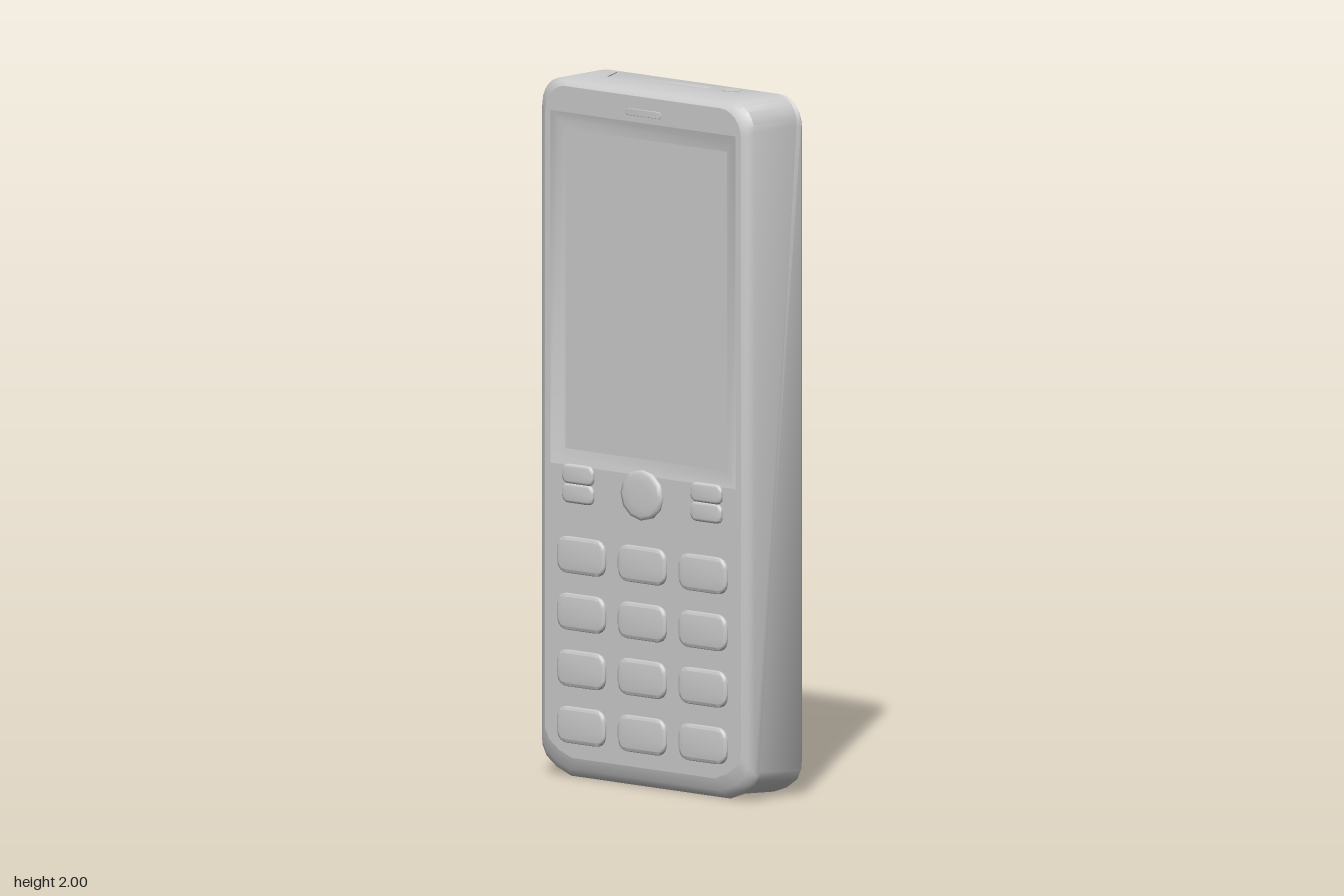
import * as THREE from 'three';
import { toCreasedNormals, mergeVertices } from 'three/addons/utils/BufferGeometryUtils.js';

const material = new THREE.MeshStandardMaterial({ color: 0xcccccc });

function addMesh(group, name, geometry) {
  const mesh = new THREE.Mesh(geometry, material);
  mesh.name = name;
  group.add(mesh);
  return mesh;
}

function build(positions, index, crease) {
  const g = new THREE.BufferGeometry();
  g.setAttribute('position', new THREE.Float32BufferAttribute(positions, 3));
  g.setIndex(index);
  return toCreasedNormals(mergeVertices(g), crease);
}

// Skin between closed rings of [x, y, z], listed front to back
function loft(rings, crease = 0.75) {
  const n = rings[0].length, index = [];
  for (let k = 0; k + 1 < rings.length; k++) {
    for (let i = 0; i < n; i++) {
      const j = (i + 1) % n, a = k * n, b = a + n;
      index.push(b + i, b + j, a + i, b + j, a + j, a + i);
    }
  }
  return build(rings.flat(2), index, crease);
}

// Right half of the outline, bottom to top, drawn in by an inset
function halfOutline(inset) {
  const hw = 0.416 - inset, top = 2 - inset * 0.6, bottom = inset * 1.7;
  const pts = [[hw - 0.105, bottom], [hw - 0.055, bottom + 0.018], [hw - 0.016, bottom + 0.045], [hw, bottom + 0.075]];
  const r = 0.08;
  for (let i = 0; i <= 6; i++) {
    const a = (i / 6) * Math.PI / 2;
    pts.push([hw - r + r * Math.cos(a), top - r + r * Math.sin(a)]);
  }
  for (const x of [0.29, 0.25, 0.13]) pts.push([Math.min(x, (hw - r) * x / 0.3), top]);
  return pts;
}

function outline(inset, z) {
  const right = halfOutline(inset);
  const left = right.map(([x, y]) => [-x, y]).reverse();
  return [...right, ...left].map(([x, y]) => [x, y, typeof z === 'function' ? z(x, y) : z]);
}

// Slanted parting line, stepping forward into a notch on the top face
const seam = (x, y) => (y > 1.985 && Math.abs(x) < 0.27 ? 0.01 : 0.095 - 0.084 * y);

// Bowed back with a shallow recess in its middle
function backZ(x, y) {
  const recessed = Math.abs(x) < 0.328 && y > 0.22 && y < 1.57;
  return -0.125 - 0.016 * Math.max(0, 1 - (x / 0.356) ** 2) + (recessed ? 0.009 : 0);
}

function backPanel() {
  const side = halfOutline(0.06).slice(0, 11);
  const hw = side[4][0];
  const straight = [0.21, 0.235, 0.7, 1.2, 1.52, 1.6, 1.75].map((y) => [hw, y]);
  const rows = [...side, ...straight].sort((a, b) => a[1] - b[1]);
  const half = [0.06, 0.13, 0.2, 0.26, 0.32, 0.335, hw];
  const cols = [...half.map((x) => -x).reverse(), 0, ...half];
  const pos = [], index = [], n = cols.length;
  rows.forEach(([w, y], r) => cols.forEach((c, i) => {
    const x = c * w / hw;
    pos.push(x, y, backZ(x, y));
    if (r && i) {
      const d = r * n + i, b = d - n;
      index.push(b - 1, d - 1, b, b, d - 1, d);
    }
  }));
  return build(pos, index, 0.9);
}

function roundedRect(w, h, r) {
  const s = new THREE.Shape(), x = w / 2, y = h / 2;
  s.moveTo(-x + r, -y);
  s.lineTo(x - r, -y);
  s.quadraticCurveTo(x, -y, x, -y + r);
  s.lineTo(x, y - r);
  s.quadraticCurveTo(x, y, x - r, y);
  s.lineTo(-x + r, y);
  s.quadraticCurveTo(-x, y, -x, y - r);
  s.lineTo(-x, -y + r);
  s.quadraticCurveTo(-x, -y, -x + r, -y);
  return s;
}

// Low pad with softened edges, rising from z = 0 to its height
function pad(w, h, r, height, bevel) {
  const g = new THREE.ExtrudeGeometry(roundedRect(w - 2 * bevel, h - 2 * bevel, r), {
    depth: height, curveSegments: 5, bevelSize: bevel, bevelThickness: height * 0.5, bevelSegments: 2,
  });
  return toCreasedNormals(g.translate(0, 0, -height * 0.5), 0.8);
}

export function createModel() {
  const phone = new THREE.Group();
  phone.name = 'phone';
  const frontZ = 0.127;

  // Front shell and its face around the screen
  const frontRing = outline(0.034, frontZ);
  addMesh(phone, 'frontShell', loft([
    frontRing, outline(0.014, 0.118), outline(0.003, 0.105), outline(0, seam), outline(0.006, seam),
  ]));
  const rect = (x, y0, y1, z) => [[-x, y0, z], [x, y0, z], [x, y1, z], [-x, y1, z]];
  const rim = rect(0.36, 0.895, 1.905, frontZ);
  const toVec = ([x, y]) => new THREE.Vector2(x, y);
  const face = new THREE.Shape(frontRing.map(toVec));
  face.holes.push(new THREE.Path(rim.map(toVec)));
  addMesh(phone, 'frontFace', new THREE.ShapeGeometry(face).translate(0, 0, frontZ));

  // Sunken screen with a sloping surround
  addMesh(phone, 'screenSurround', loft([
    rect(0.315, 0.94, 1.855, 0.114), rect(0.335, 0.92, 1.88, 0.118), rim,
  ]));
  addMesh(phone, 'screen', new THREE.PlaneGeometry(0.63, 0.915).translate(0, 1.3975, 0.114));

  // Back cover
  addMesh(phone, 'coverSides', loft([
    outline(0.006, seam), outline(0, -0.085), outline(0.012, -0.1), outline(0.032, -0.115), outline(0.06, backZ),
  ]));
  addMesh(phone, 'coverBack', backPanel());

  // Number keys
  const keys = new THREE.Group();
  keys.name = 'keypad';
  phone.add(keys);
  const keyGeometry = pad(0.188, 0.105, 0.03, 0.01, 0.01);
  for (const y of [0.64, 0.477, 0.315, 0.153]) {
    for (const x of [-0.237, 0, 0.237]) {
      addMesh(keys, 'numberKey', keyGeometry).position.set(x, y, frontZ);
    }
  }

  // Split keys either side of the round navigation key
  const halfKey = pad(0.122, 0.056, 0.016, 0.009, 0.008);
  for (const x of [-0.25, 0.25]) {
    for (const y of [0.817, 0.872]) addMesh(keys, 'softKey', halfKey).position.set(x, y, frontZ);
  }
  const dome = [[0.08, 0], [0.08, 0.009], [0.068, 0.013], [0.04, 0.015], [0, 0.015]];
  const nav = new THREE.LatheGeometry(dome.map(([r, h]) => new THREE.Vector2(r, h)), 12);
  addMesh(keys, 'navigationKey', nav.rotateX(Math.PI / 2).scale(1, 0.9, 1)).position.set(0, 0.84, frontZ);

  // Earpiece slot, top port and audio socket
  addMesh(phone, 'earpiece', pad(0.14, 0.02, 0.007, 0.002, 0.002)).position.set(0, 1.933, frontZ);
  const port = addMesh(phone, 'topPort', pad(0.228, 0.025, 0.007, 0.003, 0.002));
  port.rotation.x = -Math.PI / 2;
  port.position.set(-0.017, 1.996, -0.047);
  const socket = addMesh(phone, 'audioSocket', new THREE.CylinderGeometry(0.031, 0.031, 0.006, 10).scale(1, 1, 0.8));
  socket.position.set(0.178, 1.997, -0.049);

  return phone;
}
